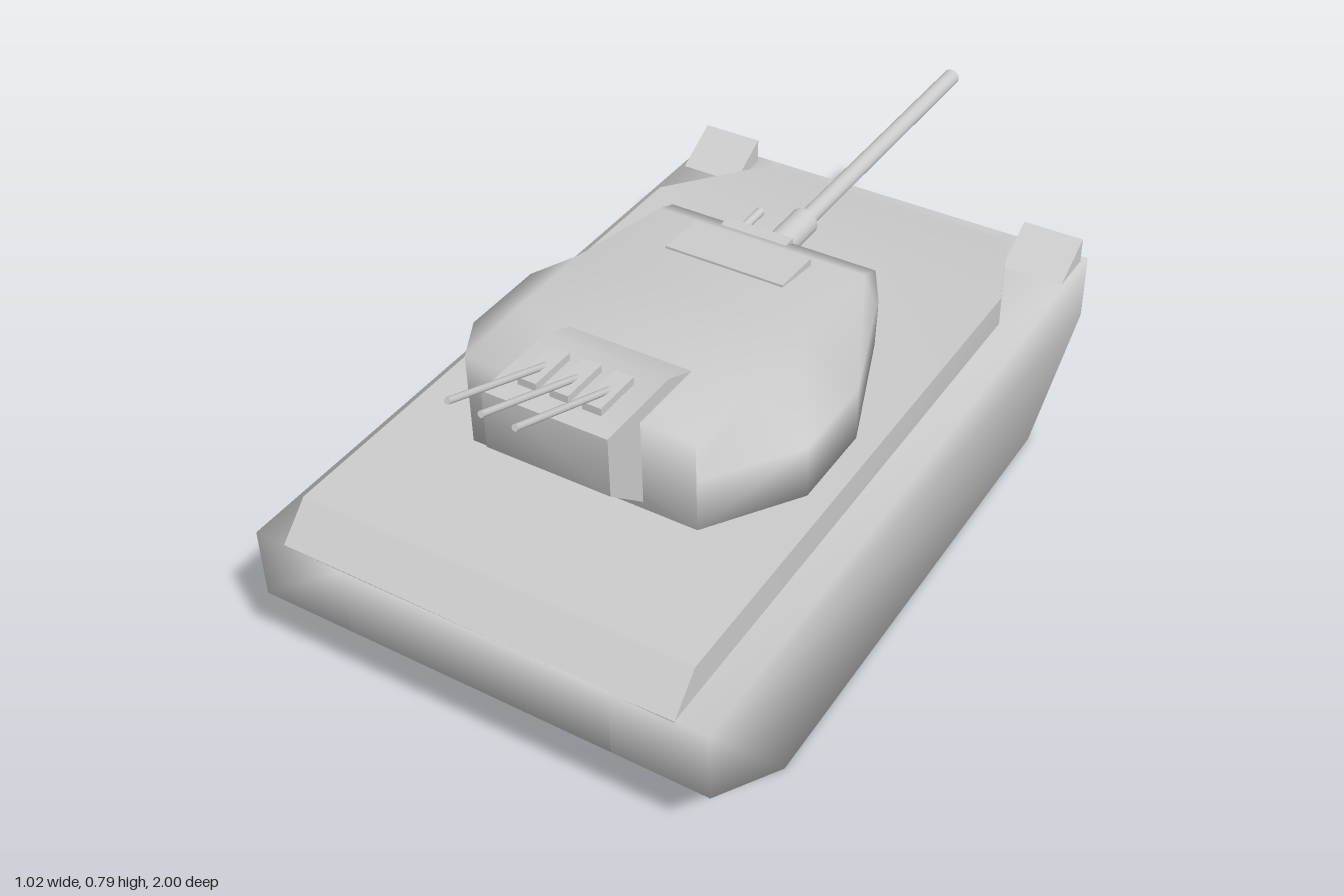
import * as THREE from 'three';
import { toCreasedNormals } from 'three/addons/utils/BufferGeometryUtils.js';

// Skin through equal-length rings of [x, y, z] points, capped at both ends.
function loft(rings, crease) {
  const n = rings[0].length, idx = [];
  const pos = rings.flat();
  for (let r = 0; r < rings.length - 1; r++) {
    for (let i = 0; i < n; i++) {
      const a = r * n + i, b = r * n + (i + 1) % n;
      idx.push(a, b, b + n, a, b + n, a + n);
    }
  }
  const last = (rings.length - 1) * n;
  for (let i = 1; i < n - 1; i++) {
    idx.push(0, i + 1, i, last, last + i, last + i + 1);
  }
  // Turn the faces outward if the rings run the other way.
  const v = pos.map((p) => new THREE.Vector3(...p));
  let volume = 0;
  for (let i = 0; i < idx.length; i += 3) {
    volume += v[idx[i]].dot(v[idx[i + 1]].clone().cross(v[idx[i + 2]]));
  }
  if (volume < 0) idx.reverse();
  const g = new THREE.BufferGeometry();
  g.setAttribute('position', new THREE.Float32BufferAttribute(pos.flat(), 3));
  g.setIndex(idx);
  g.computeVertexNormals();
  return crease ? toCreasedNormals(g, crease) : g;
}

// Side profile of [z, y] points placed at x.
const side = (x, profile) => profile.map(([z, y]) => [x, y, z]);

// Mirrored cross-section at z from [x, y] points of the left half.
const section = (z, half) => [
  ...half.map(([x, y]) => [x, y, z]),
  ...half.slice().reverse().map(([x, y]) => [-x, y, z]),
];

export function createModel() {
  const model = new THREE.Group();
  const grey = new THREE.MeshStandardMaterial({ color: 0xcccccc });
  grey.name = 'plain grey';

  const add = (name, geometry, x = 0, y = 0, z = 0) => {
    const mesh = new THREE.Mesh(geometry, grey);
    mesh.name = name;
    mesh.position.set(x, y, z);
    model.add(mesh);
    return mesh;
  };

  // Round bar between two points.
  const bar = (name, from, to, radius, sides = 12) => {
    const a = new THREE.Vector3(...from), b = new THREE.Vector3(...to);
    const dir = b.clone().sub(a);
    const mid = a.clone().add(b).multiplyScalar(0.5);
    const mesh = add(name, new THREE.CylinderGeometry(radius, radius, dir.length(), sides), mid.x, mid.y, mid.z);
    mesh.quaternion.setFromUnitVectors(new THREE.Vector3(0, 1, 0), dir.normalize());
  };

  // Hull: deep track sections either side of a raised belly
  const hullProfile = (bottom) => [
    [1, 0.35], [1, 0.19], [0.73, bottom], [-0.41, bottom], [-0.675, 0.19], [-0.675, 0.35],
  ];
  const hullSteps = [[0.51, 0], [0.3, 0], [0.3, 0.12], [-0.3, 0.12], [-0.3, 0], [-0.51, 0]];
  add('hull', loft(hullSteps.map(([x, bottom]) => side(x, hullProfile(bottom)))));

  // Raised deck, sloping down and narrowing toward the gun end
  add('deck', loft([
    section(1, [[0.44, 0.345], [0.44, 0.35]]),
    section(0.93, [[0.44, 0.345], [0.44, 0.42]]),
    section(-0.34, [[0.44, 0.345], [0.44, 0.42]]),
    section(-0.65, [[0.32, 0.345], [0.32, 0.352]]),
  ], 0.6));

  // Lamp wedges on the hull corners
  const wedge = [[-0.545, 0.35], [-0.655, 0.41], [-0.655, 0.35]];
  for (const s of [1, -1]) {
    add('lampWedge', loft([side(s * 0.355, wedge), side(s * 0.5, wedge)], 0.5));
  }

  // Turret: faceted body with sloping cheeks and a tapered nose
  add('turret', loft([
    section(0.63, [[0.26, 0.42], [0.26, 0.54], [0.26, 0.63]]),
    section(0.44, [[0.39, 0.42], [0.39, 0.54], [0.265, 0.63]]),
    section(0.24, [[0.39, 0.42], [0.39, 0.54], [0.265, 0.63]]),
    section(-0.05, [[0.28, 0.42], [0.28, 0.52], [0.25, 0.588]]),
    section(-0.1, [[0.26, 0.475], [0.26, 0.5], [0.25, 0.57]]),
  ]));

  // Step in the roof above the gun
  const lip = [[0.1, 0.59], [0.1, 0.615], [-0.02, 0.61], [-0.02, 0.57]];
  add('roofLip', loft([side(-0.14, lip), side(0.14, lip)], 0.5));

  // Main gun with its mount and sleeve
  add('gunMount', new THREE.BoxGeometry(0.11, 0.09, 0.09), -0.005, 0.535, -0.06);
  bar('gunSleeve', [-0.005, 0.52, -0.09], [-0.005, 0.52, -0.255], 0.033, 16);
  bar('gunBarrel', [-0.005, 0.52, -0.25], [-0.005, 0.52, -1], 0.02, 16);

  // Small gun beside the main gun
  add('sideGunMount', new THREE.BoxGeometry(0.05, 0.06, 0.09), -0.085, 0.55, -0.06);
  bar('sideGunBarrel', [-0.085, 0.55, -0.09], [-0.085, 0.55, -0.2], 0.01);

  // Stowage box on the rear of the turret
  const box = [[0.735, 0.665], [0.735, 0.53], [0.63, 0.437], [0.45, 0.437], [0.45, 0.63], [0.53, 0.665]];
  add('rearBox', loft([side(-0.14, box), side(0.14, box)], 1));

  // Three slanted rods on low bases
  for (const x of [-0.072, 0, 0.072]) {
    add('rodBase', new THREE.BoxGeometry(0.042, 0.018, 0.11), x, 0.673, 0.63);
    bar('rod', [x, 0.675, 0.62], [x, 0.788, 0.908], 0.007, 8);
  }

  return model;
}
